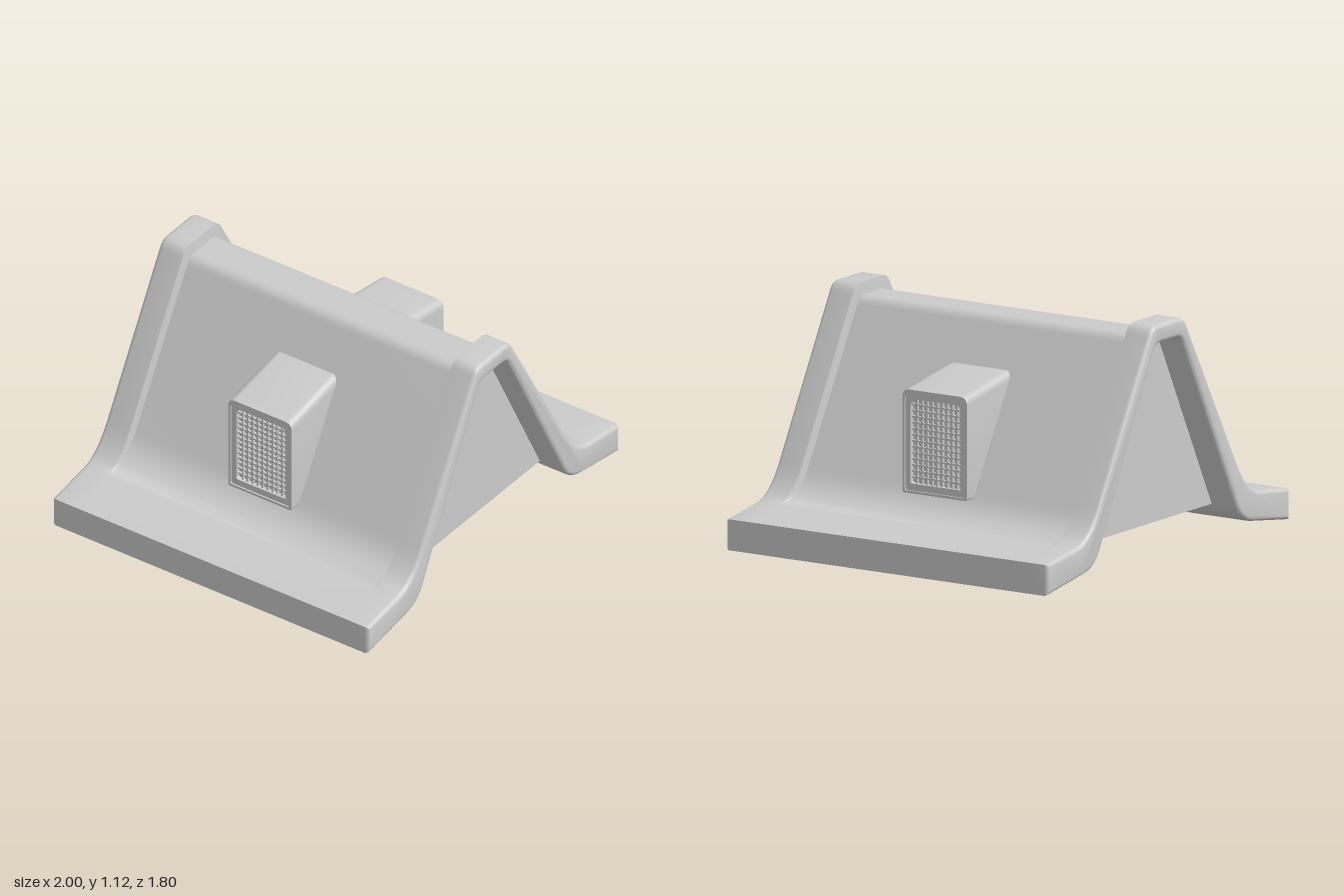
import * as THREE from 'three';
import { mergeGeometries, toCreasedNormals } from 'three/addons/utils/BufferGeometryUtils.js';

const material = new THREE.MeshStandardMaterial({ color: 0xcccccc });
const V = (x, y) => new THREE.Vector2(x, y);

function addMesh(parent, name, geometry, crease = 0.6) {
  const mesh = new THREE.Mesh(toCreasedNormals(geometry, crease), material);
  mesh.name = name;
  parent.add(mesh);
  return mesh;
}

// Rounds the corner b between a and c, starting t1 before it and ending t2 after it
function fillet(a, b, c, t1, t2) {
  const from = b.clone().add(a.clone().sub(b).setLength(t1));
  const to = b.clone().add(c.clone().sub(b).setLength(t2));
  return new THREE.QuadraticBezierCurve(from, b, to).getPoints(7);
}

// Mirrors a right-hand half into a full line from right to left
const mirrored = (half) => [...half, ...half.map((p) => V(-p.x, p.y)).reverse()];

// One skin of the roof: flange points, curved foot, slope, rounded ridge
function skin(flange, foot, ridge, t1, t2) {
  return mirrored([
    ...flange,
    ...fillet(flange[flange.length - 1], foot, ridge, t1, t2),
    ...fillet(foot, ridge, V(0, ridge.y), 0.045, 0.04),
  ]);
}

// Moves every point of a counter-clockwise outline inwards by d
function inset(points, d) {
  const n = points.length;
  const normal = (a, b) => V(a.y - b.y, b.x - a.x).normalize();
  return points.map((p, i) => {
    const n1 = normal(points[(i + n - 1) % n], p);
    const n2 = normal(p, points[(i + 1) % n]);
    return p.clone().addScaledVector(n1.clone().add(n2), d / (1 + n1.dot(n2)));
  });
}

// Joins matching outlines along z and caps both ends
function loft(rings) {
  const n = rings[0].points.length;
  const positions = rings.flatMap((r) => r.points.flatMap((p) => [p.x, p.y, r.z]));
  const index = [];
  for (let k = 0; k < rings.length - 1; k++) {
    for (let i = 0; i < n; i++) {
      const j = (i + 1) % n;
      const a = k * n + i, b = k * n + j;
      index.push(a, b, b + n, a, b + n, a + n);
    }
  }
  const last = (rings.length - 1) * n;
  for (const [a, b, c] of THREE.ShapeUtils.triangulateShape(rings[0].points, [])) {
    index.push(c, b, a, last + a, last + b, last + c);
  }
  const geometry = new THREE.BufferGeometry();
  geometry.setAttribute('position', new THREE.Float32BufferAttribute(positions, 3));
  geometry.setIndex(index);
  return geometry;
}

// Rounded rectangle, with its own radius for the top and bottom corners
function roundedRect(w, y0, y1, rTop, rBottom, Type = THREE.Shape) {
  const s = new Type();
  s.moveTo(-w + rBottom, y0);
  s.lineTo(w - rBottom, y0);
  s.quadraticCurveTo(w, y0, w, y0 + rBottom);
  s.lineTo(w, y1 - rTop);
  s.quadraticCurveTo(w, y1, w - rTop, y1);
  s.lineTo(-w + rTop, y1);
  s.quadraticCurveTo(-w, y1, -w, y1 - rTop);
  s.lineTo(-w, y0 + rBottom);
  s.quadraticCurveTo(-w, y0, -w + rBottom, y0);
  return s;
}

// Extrudes a (z, y) outline along x from x0 to x1
function extrudeX(shape, x0, x1) {
  const g = new THREE.ExtrudeGeometry(shape, { depth: x1 - x0, bevelEnabled: false, curveSegments: 6 });
  return g.rotateY(Math.PI / 2).translate(x0, 0, 0);
}

function createVent() {
  const vent = new THREE.Group();
  vent.name = 'vent';
  const face = 0.605, bottom = 0.29, top = 0.78;

  // Hood, growing taller towards the roof
  const hood = extrudeX(roundedRect(0.18, bottom, top, 0.04, 0.012), 0.2, 0.572);
  const p = hood.attributes.position;
  for (let i = 0; i < p.count; i++) {
    p.setY(i, bottom + (p.getY(i) - bottom) * (1 + (face - p.getX(i)) * 0.325));
  }
  addMesh(vent, 'ventHood', hood);

  // Outer frame and the slightly lower inner frame
  const outer = roundedRect(0.18, bottom, top, 0.04, 0.012);
  outer.holes.push(roundedRect(0.167, 0.302, 0.767, 0.035, 0.01, THREE.Path));
  const outerRing = extrudeX(outer, 0.57, face);
  const q = outerRing.attributes.position;
  for (let i = 0; i < q.count; i++) {
    q.setY(i, bottom + (q.getY(i) - bottom) * (1 + (face - q.getX(i)) * 0.325));
  }
  addMesh(vent, 'ventFrame', outerRing);
  const inner = roundedRect(0.17, 0.3, 0.77, 0.035, 0.01);
  inner.holes.push(roundedRect(0.14, 0.335, 0.735, 0.035, 0.008, THREE.Path));
  addMesh(vent, 'ventInnerFrame', extrudeX(inner, 0.57, 0.597));

  // Crossed grille bars
  const bars = [];
  for (let i = 1; i < 10; i++) {
    bars.push(new THREE.BoxGeometry(0.014, 0.4, 0.008).translate(0.58, 0.535, -0.14 + i * 0.028));
  }
  for (let i = 1; i < 14; i++) {
    bars.push(new THREE.BoxGeometry(0.013, 0.008, 0.28).translate(0.58, 0.335 + (i * 0.4) / 14, 0));
  }
  addMesh(vent, 'ventGrille', mergeGeometries(bars));
  return vent;
}

export function createModel() {
  const model = new THREE.Group();
  model.name = 'roofShelter';

  // Roof outlines: raised rim, sunken panel and shared underside
  const flange = [V(1, 0.147), V(0.755, 0.184)];
  const rimSkin = skin(flange, V(0.65, 0.204), V(0.13, 1.118), 0.1, 0.16);
  const panelSkin = skin(flange, V(0.6, 0.205), V(0.104, 1.06), 0.12, 0.13);
  const underside = skin([V(1, 0)], V(0.6, 0.062), V(0.106, 1.03), 0.1, 0.09).reverse();
  const rim = [...rimSkin, ...underside];
  const panel = [...panelSkin, ...underside];

  // Roof shell with rounded end edges
  const r = 0.022;
  const end = [];
  for (let i = 0; i <= 4; i++) {
    const a = (i / 4) * Math.PI / 2;
    end.push({ z: -0.9 + r * (1 - Math.sin(a)), points: inset(rim, r * (1 - Math.cos(a))) });
  }
  end.reverse();
  end.push({ z: -0.762, points: rim }, { z: -0.755, points: panel });
  const rings = [...end, ...end.map((e) => ({ z: -e.z, points: e.points })).reverse()];
  addMesh(model, 'roofShell', loft(rings));

  // Closed body under the roof, with end walls set back from the rims
  const wall = mirrored([V(0.565, 0.138), ...fillet(V(0.565, 0.138), V(0.108, 1.033), V(0, 1.033), 0.045, 0.04)]);
  const body = new THREE.ExtrudeGeometry(new THREE.Shape(wall), { depth: 1.514, bevelEnabled: false });
  addMesh(model, 'innerBody', body.translate(0, 0, -0.757));

  // A vent on each slope
  for (const side of [0, 1]) {
    const vent = createVent();
    vent.name = side ? 'rightVent' : 'leftVent';
    vent.rotation.y = side * Math.PI;
    model.add(vent);
  }
  return model;
}
